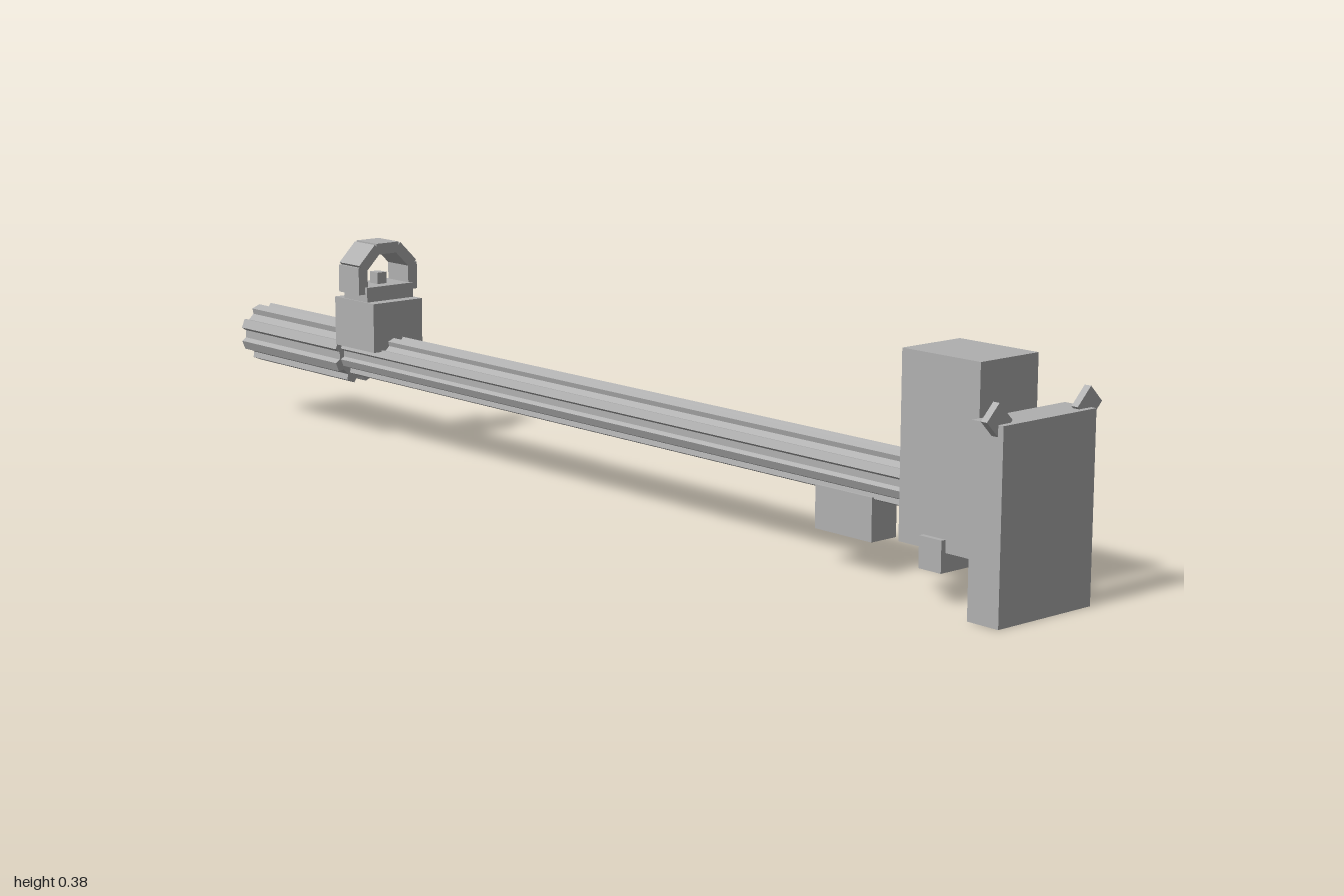
import * as THREE from 'three';

export function createModel() {
  const model = new THREE.Group();
  const steel = new THREE.MeshStandardMaterial({ color: 0xb0b0b0, flatShading: true });
  steel.name = 'grey steel';

  const add = (name, geometry, parent = model) => {
    const mesh = new THREE.Mesh(geometry, steel);
    mesh.name = name;
    parent.add(mesh);
    return mesh;
  };
  // box given by its limits on each axis
  const box = (name, x0, x1, y0, y1, z0, z1) => {
    const mesh = add(name, new THREE.BoxGeometry(x1 - x0, y1 - y0, z1 - z0));
    mesh.position.set((x0 + x1) / 2, (y0 + y1) / 2, (z0 + z1) / 2);
    return mesh;
  };
  // fluted rod along z, with a groove facing straight up
  const flutedRod = (name, outer, inner, y, z0, z1, ribs = 8) => {
    const points = [];
    const step = (Math.PI * 2) / ribs;
    for (let i = 0; i < ribs; i++) {
      const a = Math.PI / 2 + i * step;
      for (const [t, r] of [[-0.2, inner], [0.2, inner], [0.3, outer], [0.7, outer]]) {
        points.push(new THREE.Vector2(Math.cos(a + t * step) * r, Math.sin(a + t * step) * r));
      }
    }
    const geometry = new THREE.ExtrudeGeometry(new THREE.Shape(points), { depth: z1 - z0, bevelEnabled: false });
    add(name, geometry).position.set(0, y, z0);
  };

  // end plate with a thin tilted tab at each upper corner
  box('endPlate', -0.1, 0.1, 0, 0.297, 0.94, 1);
  for (const side of [-1, 1]) {
    const tab = box(side > 0 ? 'leftTab' : 'rightTab', -0.02, 0.02, -0.018, 0.018, -0.006, 0.006);
    tab.position.set(side * 0.097, 0.302, 0.984);
    tab.rotation.z = side * Math.PI / 4;
  }

  // rear block, cross bar and lug
  box('rearBlock', -0.062, 0.062, 0.08, 0.373, 0.765, 0.92);
  box('crossBar', -0.071, 0.071, 0.05, 0.1, 0.815, 0.86);
  box('lowerLug', -0.027, 0.027, 0.055, 0.125, 0.553, 0.675);

  // long tube and wider end sleeve
  flutedRod('tube', 0.044, 0.036, 0.16, -0.7, 0.95);
  flutedRod('endSleeve', 0.056, 0.046, 0.157, -1, -0.687);

  // stepped stand
  box('standBase', -0.055, 0.055, 0.18, 0.27, -0.685, -0.565);
  box('standNeck', -0.052, 0.052, 0.268, 0.297, -0.66, -0.588);

  // hooded ring made from five straight segments, with a post inside
  const ring = new THREE.Group();
  ring.name = 'ring';
  ring.position.set(0, 0.309, -0.625);
  model.add(ring);
  for (let i = 0; i < 5; i++) {
    const a = (i * Math.PI) / 4;
    const segment = add('ringSegment', new THREE.BoxGeometry(0.02, 0.05, 0.062), ring);
    segment.position.set(Math.cos(a) * 0.056, Math.sin(a) * 0.056, 0);
    segment.rotation.z = a;
  }
  box('post', -0.01, 0.01, 0.29, 0.318, -0.637, -0.613);

  return model;
}
